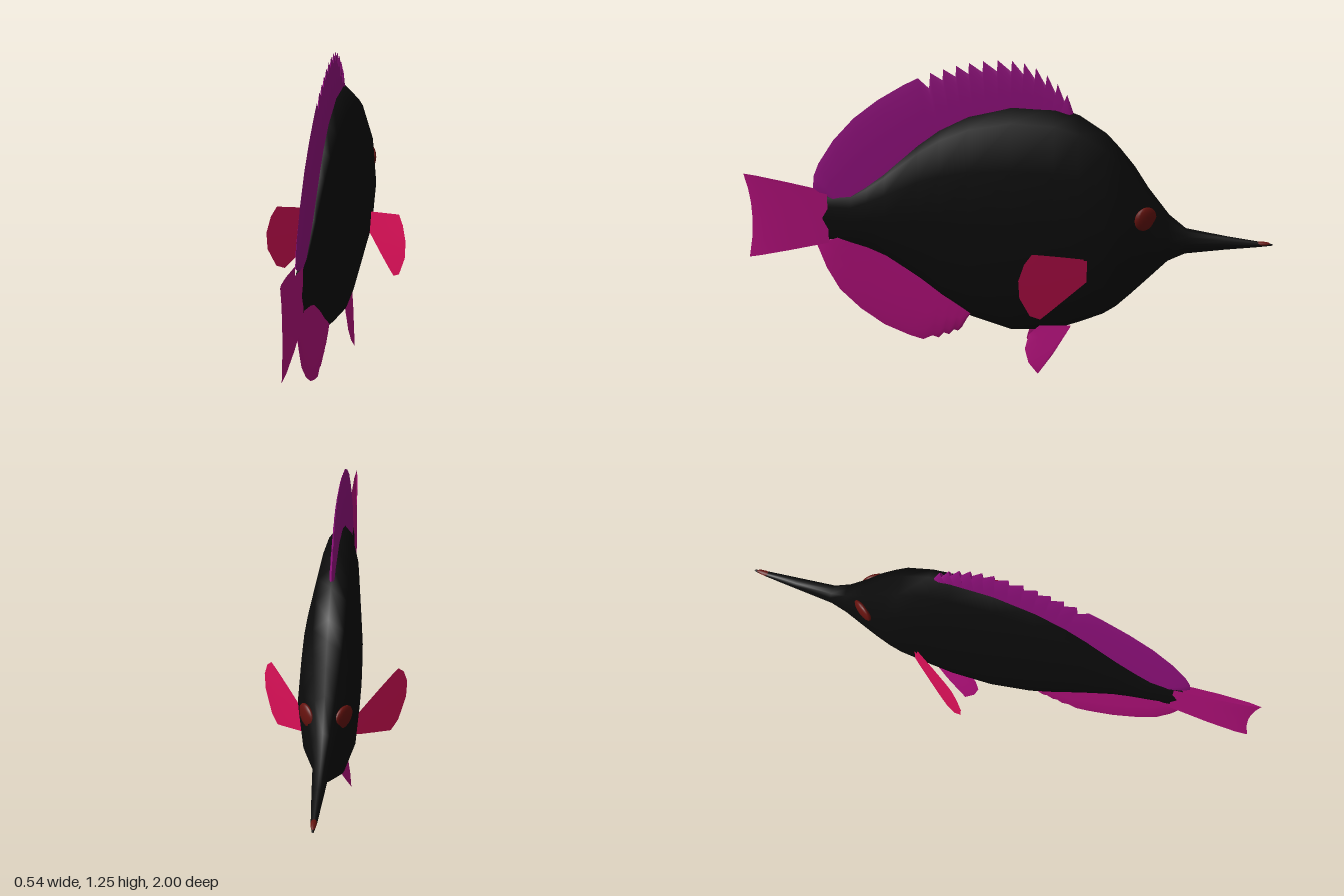
import * as THREE from 'three';

const mat = (name, color, side = THREE.FrontSide) => {
  const m = new THREE.MeshStandardMaterial({ color, side });
  m.name = name;
  return m;
};

// Body stations from tail to snout: z, top y, bottom y, half width
const BODY = [
  [0.728, 0.62, 0.6, 0.003], [0.72, 0.665, 0.555, 0.01], [0.7, 0.705, 0.52, 0.014],
  [0.59, 0.715, 0.5, 0.024], [0.53, 0.755, 0.482, 0.031], [0.46, 0.81, 0.45, 0.039],
  [0.33, 0.93, 0.36, 0.058], [0.25, 0.992, 0.295, 0.07], [0.14, 1.05, 0.218, 0.082],
  [-0.02, 1.09, 0.165, 0.098], [-0.18, 1.083, 0.172, 0.107], [-0.27, 1.052, 0.205, 0.111],
  [-0.37, 0.985, 0.247, 0.112], [-0.42, 0.93, 0.282, 0.103], [-0.476, 0.86, 0.338, 0.089],
  [-0.53, 0.775, 0.395, 0.072], [-0.61, 0.67, 0.48, 0.047], [-0.674, 0.617, 0.513, 0.031],
  [-0.82, 0.59, 0.535, 0.021], [-0.95, 0.571, 0.551, 0.011], [-0.995, 0.564, 0.557, 0.004],
  [-1.0, 0.561, 0.56, 0.001],
];

// Interpolated body height: k = 1 for the top line, 2 for the bottom line
function bodyY(z, k) {
  for (let i = 1; i < BODY.length; i++) {
    const a = BODY[i - 1], b = BODY[i];
    if (z >= b[0]) return THREE.MathUtils.lerp(a[k], b[k], (z - a[0]) / (b[0] - a[0]));
  }
  return 0.56;
}

function makeGeometry(pos, idx) {
  const g = new THREE.BufferGeometry();
  g.setAttribute('position', new THREE.Float32BufferAttribute(pos, 3));
  g.setIndex(idx);
  g.computeVertexNormals();
  return g;
}

// Twelve-sided elliptical loft along z
function bodyGeometry() {
  const N = 12, pos = [], idx = [];
  BODY.forEach(([z, top, bottom, w], i) => {
    for (let j = 0; j < N; j++) {
      const a = (j / N) * Math.PI * 2;
      pos.push(Math.sin(a) * w, (top + bottom) / 2 + Math.cos(a) * (top - bottom) / 2, z);
      if (i + 1 < BODY.length) {
        const p = i * N + j, q = i * N + (j + 1) % N;
        idx.push(p, q, p + N, q, q + N, p + N);
      }
    }
  });
  return makeGeometry(pos, idx);
}

// Thin lens-shaped fin between a base line and an outer edge, both [z, y];
// xAt(z, y) bends its middle plane out of the body's plane of symmetry
function finGeometry(outer, baseOf, thick, xAt = () => 0) {
  const rows = [[0, 1], [0.5, 0.9], [0.85, 0.5], [1, 0]], pos = [], idx = [];
  const n = outer.length;
  for (const s of [1, -1]) {
    const start = pos.length / 3;
    rows.forEach(([t, w], r) => outer.forEach((p, i) => {
      const b = baseOf(p, i / (n - 1));
      const z = b[0] + (p[0] - b[0]) * t, y = b[1] + (p[1] - b[1]) * t;
      pos.push(xAt(z, y) + s * thick * w, y, z);
      if (r < rows.length - 1 && i < n - 1) {
        const a = start + r * n + i, c = a + n;
        if (s > 0) idx.push(a, c, a + 1, a + 1, c, c + 1);
        else idx.push(a, a + 1, c, a + 1, c + 1, c);
      }
    }));
  }
  return makeGeometry(pos, idx);
}

const between = (a, b) => (p, t) => [a[0] + (b[0] - a[0]) * t, a[1] + (b[1] - a[1]) * t];

export function createModel() {
  const fish = new THREE.Group();
  fish.name = 'fish';
  const black = mat('black skin', 0x0b0b0b);
  const purple = mat('purple fin', 0x92107e, THREE.DoubleSide);
  const magenta = mat('magenta fin', 0xb4107c, THREE.DoubleSide);
  const crimson = mat('crimson fin', 0xdc1058, THREE.DoubleSide);
  const red = mat('dark red', 0x64120e);
  const add = (name, geometry, material) => {
    const m = new THREE.Mesh(geometry, material);
    m.name = name;
    fish.add(m);
    return m;
  };

  add('body', bodyGeometry(), black);

  // Dorsal fin: smooth rear lobe, then a row of swept-back spines
  const dorsal = [[0.7, 0.705], [0.735, 0.73], [0.73, 0.78], [0.71, 0.83], [0.65, 0.925],
    [0.57, 1.015], [0.476, 1.09], [0.38, 1.15], [0.326, 1.178], [0.285, 1.14]];
  const spines = [[0.28, 1.2], [0.232, 1.215], [0.184, 1.23], [0.137, 1.242], [0.085, 1.25],
    [0.032, 1.255], [-0.02, 1.255], [-0.064, 1.247], [-0.107, 1.23], [-0.148, 1.203],
    [-0.187, 1.17], [-0.222, 1.13]];
  spines.forEach(([z, y], i) => {
    const next = spines[i + 1] || [-0.25, 1.1];
    dorsal.push([z, y], [next[0] + 0.003, next[1] - 0.042]);
  });
  add('dorsalFin', finGeometry(dorsal, ([z]) => [z * 0.87, bodyY(z * 0.87, 1) - 0.03], 0.01), purple);

  // Anal fin with a few short spines at its front
  const anal = [[0.7, 0.52], [0.73, 0.5], [0.695, 0.4], [0.647, 0.31], [0.567, 0.23], [0.476, 0.165],
    [0.38, 0.123], [0.326, 0.107], [0.29, 0.125], [0.265, 0.117], [0.245, 0.14], [0.225, 0.133],
    [0.205, 0.155], [0.19, 0.15], [0.175, 0.165], [0.15, 0.215]];
  add('analFin', finGeometry(anal, ([z]) => [z * 0.87, bodyY(z * 0.87, 2) + 0.03], 0.012), magenta);

  // Tail fin with a hollow rear edge
  const tail = [[1, 0.78], [0.985, 0.72], [0.977, 0.66], [0.975, 0.6], [0.98, 0.52], [0.995, 0.435]];
  add('tailFin', finGeometry(tail, between([0.68, 0.712], [0.68, 0.512]), 0.014), magenta);

  // Paired fins and eyes
  const pectoral = [[-0.113, 0.593], [-0.086, 0.56], [-0.066, 0.5], [-0.07, 0.43],
    [-0.107, 0.345], [-0.144, 0.32]];
  const pelvic = [[-0.09, 0.165], [-0.085, 0.148], [-0.075, 0.107], [-0.09, 0.053],
    [-0.127, 0.01], [-0.18, 0.085]];
  for (const s of [1, -1]) {
    const side = s > 0 ? 'left' : 'right';
    add(side + 'PectoralFin', finGeometry(pectoral, between([-0.31, 0.515], [-0.31, 0.428]), 0.005,
      (z) => s * (0.1 + (z + 0.31) * 0.7)), crimson);
    add(side + 'PelvicFin', finGeometry(pelvic, between([-0.13, 0.2], [-0.25, 0.205]), 0.005,
      (z, y) => s * (0.032 + (0.2 - y) * 0.18)), magenta);
    const eye = add(side + 'Eye', new THREE.SphereGeometry(1, 16, 12), red);
    eye.scale.set(0.016, 0.046, 0.048);
    eye.position.set(s * 0.064, 0.675, -0.522);
    eye.rotation.y = s * 0.6;
  }

  // Mouth at the snout tip
  const mouth = add('mouth', new THREE.SphereGeometry(1, 10, 8), red);
  mouth.scale.set(0.0105, 0.008, 0.036);
  mouth.position.set(0, 0.564, -0.955);
  return fish;
}
